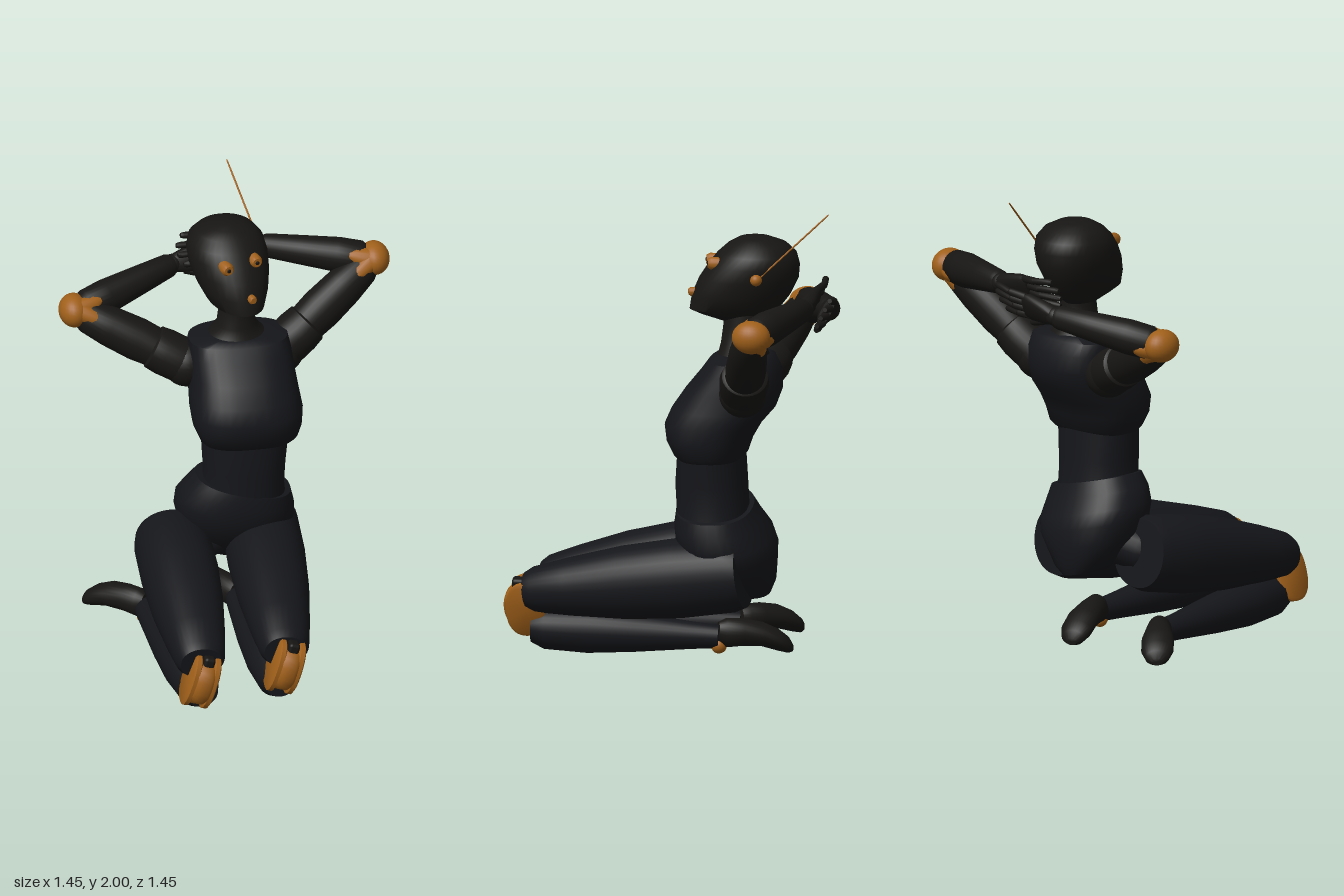
import * as THREE from 'three';
import { toCreasedNormals } from 'three/addons/utils/BufferGeometryUtils.js';
import { RoundedBoxGeometry } from 'three/addons/geometries/RoundedBoxGeometry.js';

const V = (x, y, z) => new THREE.Vector3(x, y, z);
const shell = new THREE.MeshStandardMaterial({ color: 0x15161a });
const skin = new THREE.MeshStandardMaterial({ color: 0x171614 });
const joint = new THREE.MeshStandardMaterial({ color: 0xa0601a });

// Closed loft along a->b; each ring is [t, radiusU, radiusV, offsetU, offsetV]
function loft(a, b, rings, ref = V(1, 0, 0), power = 1, sides = 28) {
  const axis = b.clone().sub(a), w = axis.clone().normalize();
  const u = ref.clone().addScaledVector(w, -ref.dot(w)).normalize();
  const v = u.clone().cross(w);
  const pos = [], idx = [];
  const bend = (c) => Math.sign(c) * Math.abs(c) ** power;
  const put = (p) => pos.push(p.x, p.y, p.z);
  const mid = ([t, , , ou = 0, ov = 0]) =>
    a.clone().addScaledVector(axis, t).addScaledVector(u, ou).addScaledVector(v, ov);
  for (const ring of rings) {
    for (let i = 0; i < sides; i++) {
      const g = (i / sides) * Math.PI * 2;
      put(mid(ring).addScaledVector(u, ring[1] * bend(Math.cos(g)))
        .addScaledVector(v, ring[2] * bend(Math.sin(g))));
    }
  }
  const n = rings.length, first = n * sides, top = (n - 1) * sides;
  put(mid(rings[0]));
  put(mid(rings[n - 1]));
  for (let i = 0; i < sides; i++) {
    const j = (i + 1) % sides;
    for (let r = 0; r < n - 1; r++) {
      const p = r * sides, q = p + sides;
      idx.push(p + i, q + i, p + j, q + i, q + j, p + j);
    }
    idx.push(first, i, j, first + 1, top + j, top + i);
  }
  const geo = new THREE.BufferGeometry();
  geo.setAttribute('position', new THREE.Float32BufferAttribute(pos, 3));
  geo.setIndex(idx);
  return toCreasedNormals(geo, 0.75);
}

export function createModel() {
  const model = new THREE.Group();
  model.name = 'kneelingMannequin';
  const add = (name, geo, mat, parent = model) => {
    const mesh = new THREE.Mesh(geo, mat);
    mesh.name = name;
    parent.add(mesh);
    return mesh;
  };
  const ball = (name, p, r, mat) => {
    const mesh = add(name, new THREE.SphereGeometry(r, 24, 16), mat);
    mesh.position.copy(p);
    return mesh;
  };
  const rod = (name, a, b, r, mat, sides = 14) =>
    add(name, loft(a, b, [[0, r, r], [0.85, r, r], [1, r * 0.7, r * 0.7]], V(0.31, 0.8, 0.2), 1, sides), mat);
  // Horizontal sections: [y, halfWidth, frontZ, backZ, centreX]
  const upright = (rows, power) => loft(V(0, 0, 0), V(0, 1, 0),
    rows.map(([y, rx, f, k, x = 0]) => [y, rx, (f - k) / 2, x, (f + k) / 2]), V(1, 0, 0), power, 36);

  // Torso
  add('chest', upright([
    [0.92, 0.2, -0.045, -0.31, 0.05], [0.94, 0.215, -0.02, -0.33, 0.05],
    [1.0, 0.235, 0.01, -0.35, 0.045], [1.07, 0.242, 0.02, -0.39, 0.043],
    [1.14, 0.235, -0.01, -0.45, 0.04], [1.22, 0.225, -0.065, -0.48, 0.04],
    [1.3, 0.222, -0.13, -0.475, 0.035], [1.355, 0.215, -0.17, -0.445, 0.03],
    [1.375, 0.13, -0.2, -0.42, 0.025]], 0.8), shell);
  add('waist', upright([
    [0.6, 0.19, -0.02, -0.35, 0.025], [0.7, 0.175, -0.025, -0.335, 0.03],
    [0.8, 0.178, -0.02, -0.33, 0.032], [0.95, 0.19, -0.03, -0.32, 0.035]], 0.9), shell);
  add('neck', upright([
    [1.34, 0.16, -0.18, -0.44, 0.025], [1.38, 0.115, -0.205, -0.42, 0.025],
    [1.42, 0.085, -0.215, -0.4, 0.024], [1.5, 0.074, -0.225, -0.39, 0.022],
    [1.62, 0.074, -0.23, -0.4, 0.02]], 1), skin);

  // Pelvis, hitched up on its right side
  add('pelvis', loft(V(-0.06, 0.32, -0.2), V(0.03, 0.7, -0.2), [
    [0, 0.09, 0.1, 0.02, -0.12], [0.12, 0.15, 0.14, 0.01, -0.1], [0.3, 0.21, 0.18, 0, -0.065],
    [0.5, 0.25, 0.205, 0, -0.045], [0.66, 0.262, 0.205, 0, -0.025],
    [0.84, 0.243, 0.185, 0, 0], [1, 0.212, 0.165, 0, 0.01]], V(1, -0.24, 0), 0.88, 36), shell);

  // Head, turned slightly to its left
  const head = new THREE.Group();
  head.name = 'head';
  head.position.set(-0.005, 0, -0.33);
  head.rotation.y = 0.2;
  model.add(head);
  const skull = add('skull', upright([
    [1.515, 0.06, -0.21, -0.4], [1.545, 0.095, -0.12, -0.44], [1.565, 0.115, -0.075, -0.46],
    [1.63, 0.145, -0.085, -0.51], [1.7, 0.165, -0.115, -0.545], [1.76, 0.17, -0.155, -0.55],
    [1.81, 0.16, -0.195, -0.537], [1.85, 0.127, -0.24, -0.495],
    [1.875, 0.075, -0.285, -0.43], [1.885, 0.02, -0.33, -0.37]], 0.98), skin, head);
  skull.position.z = 0.33;
  for (const [x, y, z] of [[-0.04, 1.765, -0.138], [0.09, 1.775, -0.168]]) {
    const tip = V(x, y, z);
    rod('eye', tip.clone().add(V(-0.02, -0.005, -0.09)), tip, 0.028, joint, 20);
    rod('pupil', tip.clone().add(V(-0.002, 0, -0.01)), tip.clone().add(V(0.001, 0, 0.004)), 0.009, skin);
  }
  rod('mouth', V(0.04, 1.64, -0.14), V(0.057, 1.64, -0.077), 0.019, joint);
  ball('antennaKnob', V(0.148, 1.72, -0.39), 0.026, joint);
  rod('antenna', V(0.15, 1.72, -0.395), V(0.055, 2, -0.69), 0.004, joint, 8);

  // Arms folded up behind the head
  const arms = [
    { s: 1, tabY: 1.335, shoulder: V(0.22, 1.235, -0.345), elbow: V(0.645, 1.575, -0.46), wrist: V(0.19, 1.61, -0.61), tip: V(-0.19, 1.62, -0.61) },
    { s: -1, tabY: 1.305, shoulder: V(-0.19, 1.225, -0.33), elbow: V(-0.645, 1.455, -0.46), wrist: V(-0.19, 1.535, -0.65), tip: V(0.14, 1.58, -0.68) },
  ];
  for (const { s, tabY, shoulder, elbow, wrist, tip } of arms) {
    const at = (a, b, t) => a.clone().lerp(b, t);
    ball('shoulderBall', shoulder, 0.105, skin);
    add('shoulderCup', loft(shoulder, elbow, [[0.05, 0.1, 0.1], [0.2, 0.108, 0.1],
      [0.3, 0.1, 0.095], [0.32, 0.085, 0.08]], V(0, 0, 1)), skin);
    add('upperArm', loft(shoulder, elbow, [[0.25, 0.085, 0.085], [0.45, 0.088, 0.094],
      [0.7, 0.083, 0.088], [0.9, 0.072, 0.075], [0.96, 0.055, 0.06]], V(0, 0, 1)), skin);
    add('forearm', loft(elbow, wrist, [[0.04, 0.055, 0.055], [0.1, 0.074, 0.07],
      [0.3, 0.077, 0.074], [0.65, 0.064, 0.062], [0.96, 0.052, 0.05], [1, 0.042, 0.04]], V(0, 1, 0)), skin);
    // Elbow: a rounded cap with tabs running onto both arm segments
    ball('elbowCap', elbow.clone().add(V(s * 0.013, 0.002, -0.005)), 1, joint).scale.set(0.066, 0.072, 0.084);
    for (const end of [shoulder, wrist]) {
      add('elbowTab', loft(elbow, at(elbow, end, 0.19), [[0, 0.068, 0.05], [0.7, 0.078, 0.045],
        [1, 0.074, 0.03]], V(0, 0.6, 1), 0.8), joint);
    }
    add('shoulderTab', new RoundedBoxGeometry(0.035, 0.05, 0.055, 3, 0.01), joint)
      .position.set(s * 0.255 + 0.025, tabY, -0.355);

    // Hand: palm, thumb and four two-part fingers
    const spread = V(0, 1, -0.5).normalize();
    const knuckles = at(wrist, tip, 0.5);
    ball('wristBall', wrist, 0.042, skin);
    add('palm', loft(wrist, knuckles, [[0, 0.038, 0.034], [0.25, 0.05, 0.036],
      [0.8, 0.068, 0.03], [1, 0.062, 0.022]], spread, 0.8), skin);
    for (let i = 0; i < 4; i++) {
      const o = (i - 1.5) * 0.034, reach = 1 - 0.06 * Math.abs(i - 1.6);
      const base = at(wrist, tip, 0.45).addScaledVector(spread, o);
      const end = at(wrist, tip, reach).addScaledVector(spread, o * 1.25);
      const bendPoint = at(base, end, 0.5).add(V(0, 0, -0.016));
      rod('finger', base, bendPoint, 0.0165, skin, 10);
      rod('fingertip', at(base, bendPoint, 0.92), end, 0.0145, skin, 10);
    }
    rod('thumb', at(wrist, tip, 0.15).addScaledVector(spread, -0.04),
      at(wrist, tip, 0.52).addScaledVector(spread, -0.095), 0.017, skin, 10);
  }

  // Legs folded under in a kneel
  const legs = [
    { hip: V(0.125, 0.425, -0.33), knee: V(0.06, 0.3, 0.63), cap: V(0.058, 0.235, 0.628), shin: V(0.045, 0.135, 0.61), ankle: V(0, 0.115, -0.2), toe: V(-0.13, 0.085, -0.5) },
    { hip: V(-0.278, 0.425, -0.235), knee: V(-0.305, 0.275, 0.62), cap: V(-0.308, 0.19, 0.605), shin: V(-0.295, 0.11, 0.59), ankle: V(-0.395, 0.095, -0.22), toe: V(-0.61, 0.075, -0.45) },
  ];
  for (const { hip, knee, cap, shin, ankle, toe } of legs) {
    add('thigh', loft(hip, knee, [[0, 0.155, 0.15], [0.05, 0.165, 0.165], [0.3, 0.168, 0.172],
      [0.55, 0.156, 0.158], [0.8, 0.13, 0.125], [0.96, 0.108, 0.098], [1, 0.09, 0.078]],
      V(1, 0, 0), 0.94, 32), shell);
    rod('hipJoint', V(0, 0.47, -0.24), hip.clone().lerp(knee, 0.1), 0.1, shell, 20);
    add('shin', loft(shin, ankle, [[0, 0.07, 0.065], [0.07, 0.09, 0.092], [0.3, 0.096, 0.1],
      [0.55, 0.083, 0.085], [0.85, 0.058, 0.06], [1, 0.045, 0.05]]), shell);
    // Knee: rounded drum between two lower side plates, dark knob above
    const kneeGroup = new THREE.Group();
    kneeGroup.name = 'knee';
    kneeGroup.position.copy(cap);
    kneeGroup.rotation.z = -0.3;
    model.add(kneeGroup);
    const drum = (name, x, half, ry, rz) => add(name, loft(V(x - half, 0, 0), V(x + half, 0, 0),
      [[0, ry * 0.9, rz * 0.9], [0.2, ry, rz], [0.8, ry, rz], [1, ry * 0.9, rz * 0.9]],
      V(0, 1, 0), 0.85), joint, kneeGroup);
    drum('kneeDrum', 0, 0.036, 0.105, 0.1);
    for (const k of [-1, 1]) drum('kneePlate', k * 0.043, 0.016, 0.125, 0.085);
    add('kneeKnob', new RoundedBoxGeometry(0.05, 0.05, 0.1, 2, 0.014), skin, kneeGroup)
      .position.set(0, 0.105, 0.01);
    // Foot stretched back, sole upward
    ball('ankleJoint', ankle.clone().add(V(0, -0.04, 0)), 0.034, joint);
    add('foot', loft(ankle, toe, [[-0.02, 0.034, 0.045, 0, 0.02], [0.08, 0.052, 0.064, 0, 0.018],
      [0.3, 0.058, 0.06, 0, 0.024], [0.58, 0.07, 0.052, 0, 0.02], [0.8, 0.07, 0.046, 0, -0.002],
      [0.94, 0.052, 0.034, 0, -0.022], [1, 0.024, 0.016, 0, -0.034]], V(1, 0, 0)), skin);
  }
  return model;
}
